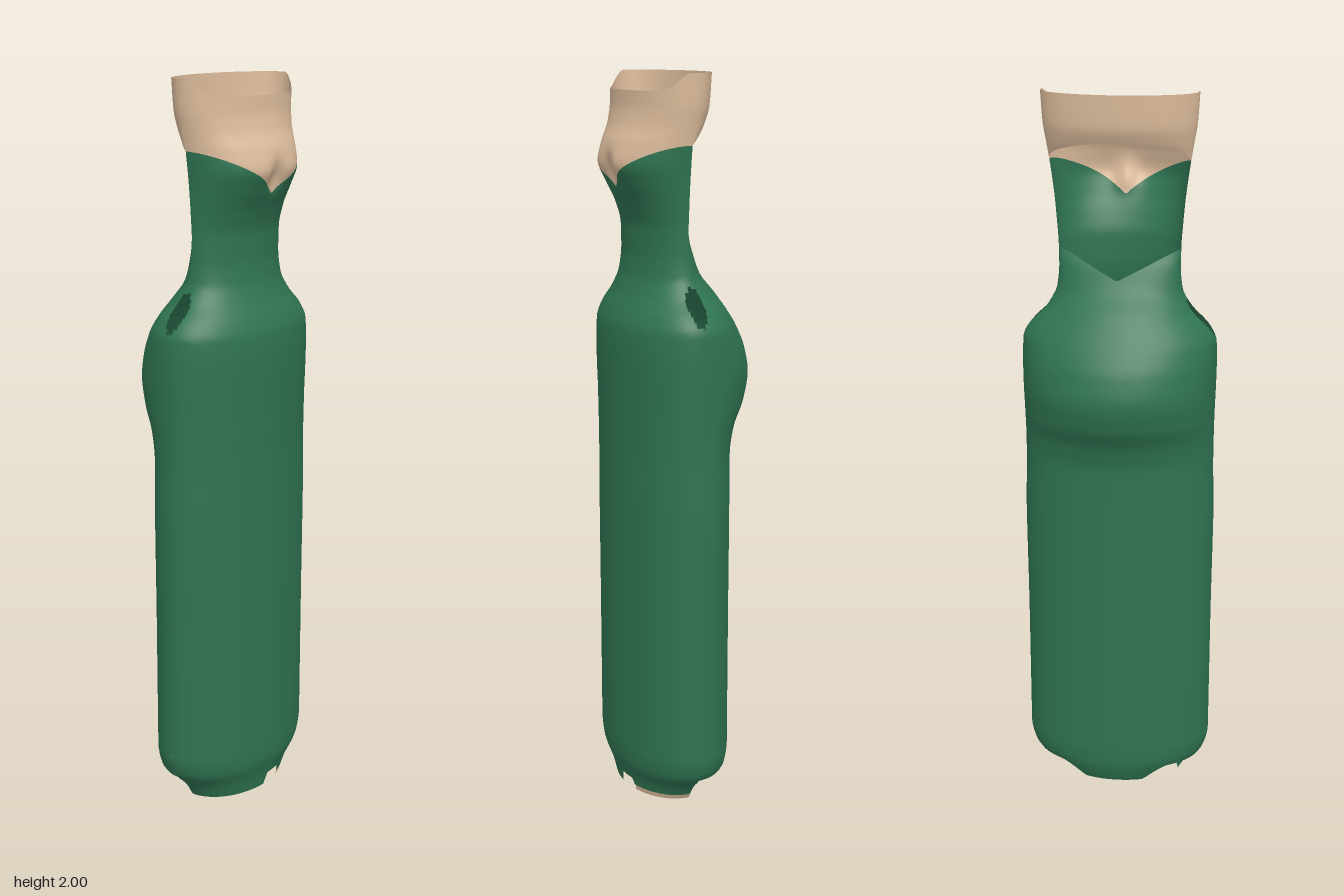
import * as THREE from 'three';

const SEAM_Z = 0.035;

// Silhouette: [height, half width, front z, back z]
const PROFILE = [
  [0, 0.175, 0.157, -0.08],
  [0.04, 0.2, 0.165, -0.105],
  [0.1, 0.253, 0.182, -0.123],
  [0.15, 0.264, 0.185, -0.126],
  [0.5, 0.264, 0.185, -0.126],
  [0.85, 0.266, 0.185, -0.126],
  [1.0, 0.262, 0.185, -0.128],
  [1.07, 0.262, 0.186, -0.143],
  [1.14, 0.263, 0.187, -0.178],
  [1.21, 0.265, 0.189, -0.192],
  [1.28, 0.266, 0.19, -0.177],
  [1.34, 0.264, 0.187, -0.147],
  [1.38, 0.245, 0.175, -0.122],
  [1.43, 0.198, 0.15, -0.088],
  [1.48, 0.17, 0.133, -0.045],
  [1.54, 0.164, 0.126, -0.012],
  [1.6, 0.165, 0.127, 0.025],
  [1.66, 0.169, 0.145, 0.03],
  [1.72, 0.174, 0.178, 0.025],
  [1.77, 0.18, 0.2, 0.015],
  [1.82, 0.187, 0.186, -0.005],
  [1.87, 0.195, 0.162, -0.045],
  [1.92, 0.203, 0.15, -0.064],
  [2.0, 0.208, 0.146, -0.07],
];

// Smooth interpolation of one profile column without overshoot
function sample(y, k) {
  const P = PROFILE, n = P.length;
  let i = 0;
  while (i < n - 2 && y > P[i + 1][0]) i++;
  const slope = (j) => (P[j + 1][k] - P[j][k]) / (P[j + 1][0] - P[j][0]);
  const tangent = (j) => {
    if (j === 0) return slope(0);
    if (j === n - 1) return slope(n - 2);
    const a = slope(j - 1), b = slope(j);
    return a * b <= 0 ? 0 : (2 * a * b) / (a + b);
  };
  const h = P[i + 1][0] - P[i][0], t = (y - P[i][0]) / h, t2 = t * t, t3 = t2 * t;
  return (2 * t3 - 3 * t2 + 1) * P[i][k] + (t3 - 2 * t2 + t) * h * tangent(i)
    + (3 * t2 - 2 * t3) * P[i + 1][k] + (t3 - t2) * h * tangent(i + 1);
}

// Point on the shell: two half ellipses, with a cleft under the chin
function shell(a, y) {
  const x = sample(y, 1) * Math.cos(a), s = Math.sin(a);
  let z = SEAM_Z + s * (s >= 0 ? sample(y, 2) - SEAM_Z : SEAM_Z - sample(y, 3));
  if (s > 0) z -= 0.022 * Math.exp(-((x / 0.032) ** 2) - ((y - 1.755) / 0.04) ** 2);
  return new THREE.Vector3(x, y, z);
}

// Patch of the shell between two edge curves low(angle) and high(angle)
function patch(name, material, a0, a1, low, high, rows, keep = () => true) {
  const cols = Math.max(8, Math.round((a1 - a0) * 32)), e = 0.002;
  const pos = [], nor = [], index = [];
  for (let i = 0; i <= cols; i++) {
    const a = a0 + ((a1 - a0) * i) / cols;
    for (let j = 0; j <= rows; j++) {
      const y = THREE.MathUtils.lerp(low(a), high(a), j / rows);
      const up = shell(a, y + e).sub(shell(a, y - e));
      const around = shell(a + e, y).sub(shell(a - e, y));
      const p = shell(a, y);
      pos.push(p.x, p.y, p.z);
      nor.push(...up.cross(around).normalize().toArray());
      if (i < cols && j < rows && keep(p)) {
        const k = i * (rows + 1) + j, r = k + rows + 1;
        index.push(k, k + 1, r, r, k + 1, r + 1);
      }
    }
  }
  const g = new THREE.BufferGeometry();
  g.setAttribute('position', new THREE.Float32BufferAttribute(pos, 3));
  g.setAttribute('normal', new THREE.Float32BufferAttribute(nor, 3));
  g.setIndex(index);
  const mesh = new THREE.Mesh(g, material);
  mesh.name = name;
  return mesh;
}

export function createModel() {
  const green = new THREE.MeshStandardMaterial({ color: 0x2f7452, side: THREE.DoubleSide });
  green.name = 'green cloth';
  const tan = new THREE.MeshStandardMaterial({ color: 0xdcbc9c, side: THREE.DoubleSide });
  tan.name = 'tan skin';

  const step = THREE.MathUtils.smoothstep;
  const PI = Math.PI;

  // Edge curves
  const chinLine = (a) => 1.705 + 0.115 * Math.abs(Math.cos(a)) ** 0.85;
  const napeLow = (a) => 1.51 + 0.08 * Math.abs(Math.cos(a));
  const napeHigh = (a) => 1.82 + 0.055 * Math.abs(Math.sin(a));
  const frontHem = (a) => {
    const c = Math.cos(a);
    return 0.035 * step(c, -0.02, 0.05) * (1 - step(c, 0.3, 0.37));
  };
  const bodyHem = (a) => Math.max(frontHem(a), Math.cos(a) > 0.3 ? 0.015 : 0);
  const backHem = (a) => 0.03 + 0.05 * step(Math.abs(Math.cos(a)), 0.4, 0.65);
  const frontRim = (a) => 2 - 0.045 * step(Math.sin(a), 0.1, 0.7);
  const backRim = () => 2;

  // Small arm openings at the shoulders
  const armHole = (p) => ((p.z - 0.035) / 0.025) ** 2 + ((p.y - 1.4) / 0.048) ** 2 > 1;

  const model = new THREE.Group();
  model.name = 'figure';
  model.add(
    patch('robeFront', green, 0, PI, bodyHem, chinLine, 130, armHole),
    patch('robeBack', green, PI, 2 * PI, backHem, napeLow, 110, armHole),
    patch('faceFront', tan, 0, PI, chinLine, frontRim, 30),
    patch('headBack', tan, PI, 2 * PI, napeHigh, backRim, 20),
    patch('footEdge', tan, 0, Math.acos(0.37), frontHem, () => 0.015, 2),
  );
  return model;
}
